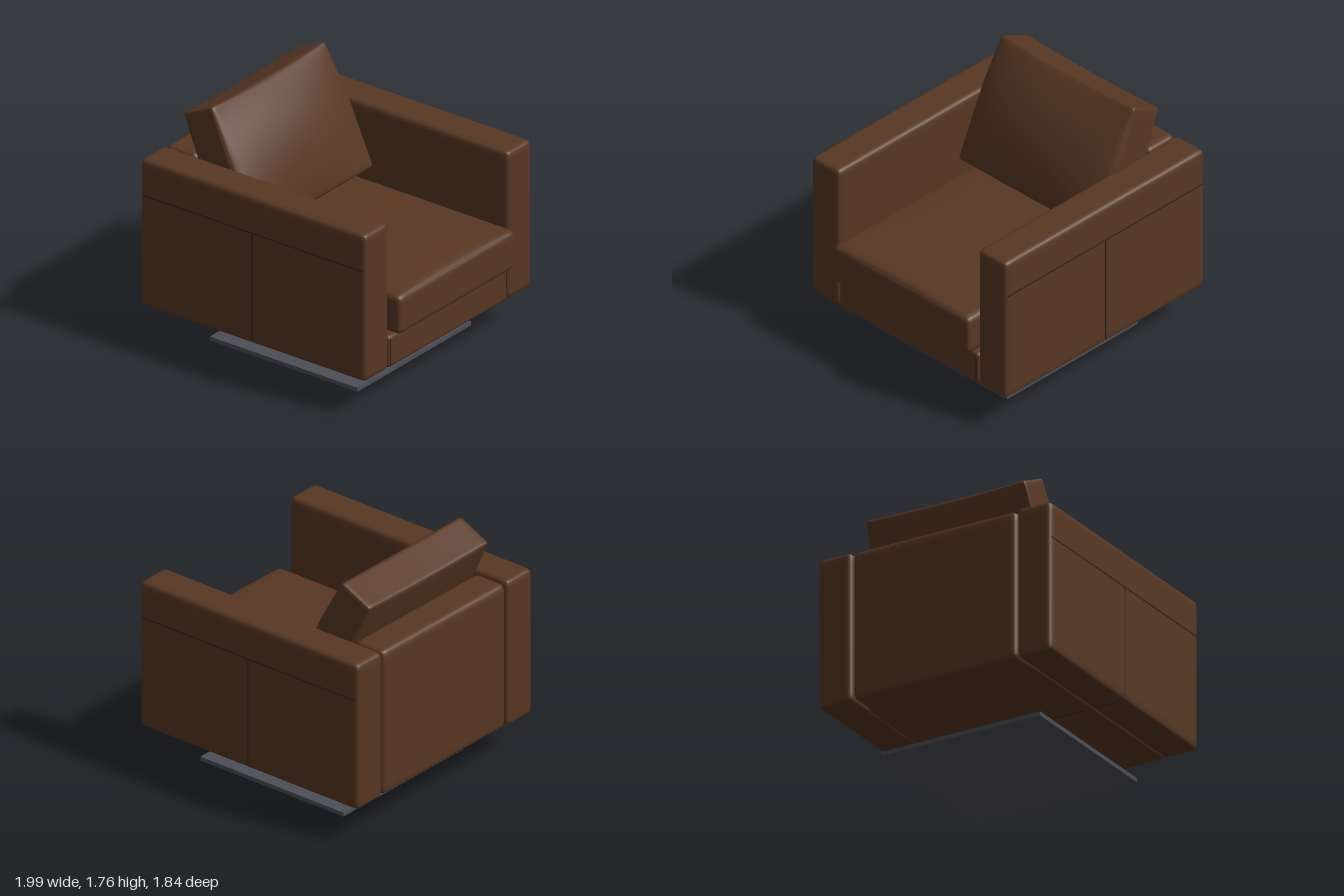
import * as THREE from 'three';
import { mergeVertices } from 'three/addons/utils/BufferGeometryUtils.js';

// Soft upholstered block: rounded edges, optional warp(p, n), n = position in -1..1
function softBlock(size, radius, warp) {
  let g = new THREE.BoxGeometry(2, 2, 2, 24, 24, 24);
  g.deleteAttribute('uv');
  g.deleteAttribute('normal');
  g = mergeVertices(g, 1e-4);
  const half = new THREE.Vector3(...size).multiplyScalar(0.5);
  const inner = half.clone().subScalar(radius);
  const pos = g.attributes.position;
  const n = new THREE.Vector3(), p = new THREE.Vector3(), c = new THREE.Vector3();
  for (let i = 0; i < pos.count; i++) {
    n.fromBufferAttribute(pos, i);
    // crowd the grid toward the edges so the rounding is smooth
    n.set(...n.toArray().map((t) => Math.sin((t * Math.PI) / 2)));
    p.copy(n).multiply(half);
    c.copy(p).clamp(inner.clone().negate(), inner);
    p.sub(c).setLength(radius).add(c);
    if (warp) warp(p, n);
    pos.setXYZ(i, p.x, p.y, p.z);
  }
  g.computeVertexNormals();
  return g;
}

export function createModel() {
  const leather = new THREE.MeshStandardMaterial({ color: 0x573723 });
  leather.name = 'brown leather';
  const stitching = new THREE.MeshStandardMaterial({ color: 0x352115 });
  stitching.name = 'dark stitching';
  const metal = new THREE.MeshStandardMaterial({ color: 0x4d4e57 });
  metal.name = 'grey metal';

  const chair = new THREE.Group();
  chair.name = 'swivelArmchair';
  const add = (name, geometry, material, x, y, z) => {
    const mesh = new THREE.Mesh(geometry, material);
    mesh.name = name;
    mesh.position.set(x, y, z);
    chair.add(mesh);
    return mesh;
  };
  const box = (w, h, d) => new THREE.BoxGeometry(w, h, d);
  const dome = (t) => 1 - t * t;

  // Arms with their seams
  for (const side of [1, -1]) {
    const label = side > 0 ? 'left' : 'right';
    add(label + 'Arm', softBlock([1.91, 1.105, 0.268], 0.04), leather, -0.04, 0.8275, side * 0.784);
    add(label + 'ArmLongSeam', box(1.87, 0.009, 0.006), stitching, -0.04, 1.112, side * 0.917);
    add(label + 'ArmUprightSeam', box(0.009, 0.8, 0.006), stitching, -0.04, 0.71, side * 0.917);
    add(label + 'ArmUnderSeam', box(0.009, 0.006, 0.2), stitching, -0.04, 0.276, side * 0.784);
    add(label + 'BaseSeam', box(0.006, 0.2, 0.007), stitching, 0.912, 0.395, side * 0.635);
  }

  // Body: base rail and backrest between the arms
  add('seatBase', softBlock([1.7, 0.245, 1.31], 0.03), leather, 0.063, 0.3975, 0);
  add('backrest', softBlock([0.265, 1.095, 1.286], 0.045), leather, -0.862, 0.825, 0);
  add('baseUnderSeam', box(0.009, 0.006, 1.2), stitching, -0.04, 0.276, 0);

  // Seat cushion, crowned on top
  add('seatCushion', softBlock([1.75, 0.295, 1.28], 0.045, (p, n) => {
    if (p.y > 0) p.y += 0.04 * dome(n.z) * Math.sqrt(dome(n.x)) * n.y;
  }), leather, 0.12, 0.688, 0);

  // Leaning back cushion, with a full front and slightly swelling sides
  const pillow = add('backCushion', softBlock([0.275, 0.92, 1.25], 0.022, (p, n) => {
    const swell = dome(n.y) * Math.pow(dome(n.z), 0.6);
    p.x += (n.x > 0 ? 0.095 : 0.03) * swell * n.x;
    p.y -= 0.012 * dome(n.z) * Math.max(n.y, 0);
    p.z += 0.022 * n.z * Math.min(1, 1.3 * (1 - n.y));
  }), leather, -0.537, 1.292, 0);
  pillow.rotation.z = 0.445;

  // Swivel foot
  add('post', new THREE.CylinderGeometry(0.066, 0.066, 0.26, 40), metal, -0.01, 0.155, -0.01);
  add('footPlate', box(1.25, 0.03, 1.25), metal, -0.01, 0.015, -0.01);

  return chair;
}
